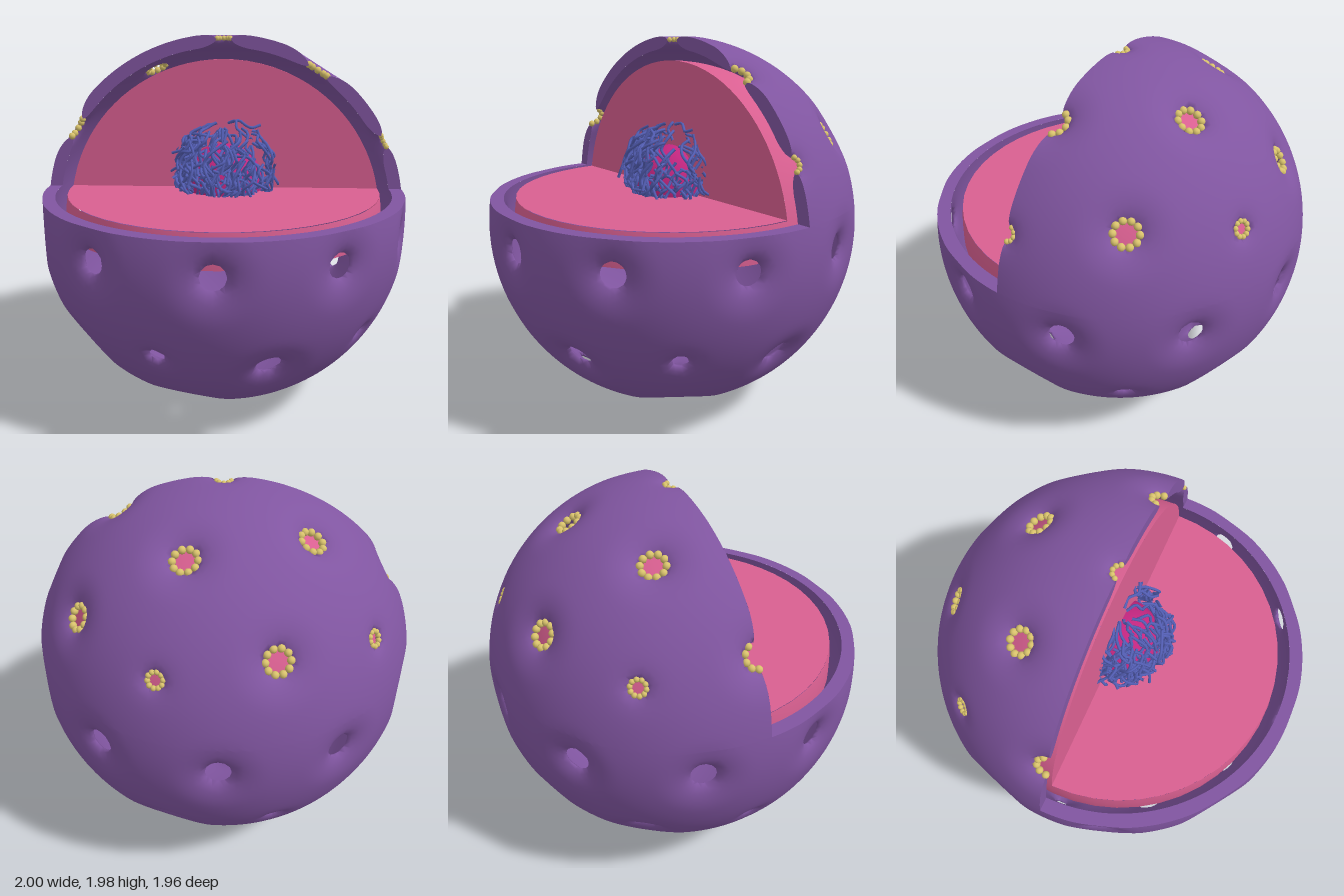
import * as THREE from 'three';
import { mergeVertices } from 'three/addons/utils/BufferGeometryUtils.js';

const V = (x, y, z) => new THREE.Vector3(x, y, z);
const MID = 0.966, HALF = 0.034;      // shell: middle radius and half thickness
const CORE = 0.87, CUT = 0.17;        // inner body radius, cut height above the centre
const CENTRE = 0.99;

const mat = (color, side = THREE.FrontSide) => new THREE.MeshStandardMaterial({ color, side });
const purple = 0x8055a0, pink = 0xd85f90, gold = 0xd8c26c, blue = 0x5560b8, magenta = 0xc2267f;

function add(parent, name, geometry, material) {
  const mesh = new THREE.Mesh(geometry, material);
  mesh.name = name;
  parent.add(mesh);
  return mesh;
}

// Pores: rings of [elevation, count, first azimuth, large?]
const pores = [];
for (const [el, n, az0, big] of [
  [90, 1, 0, 0], [58.28, 5, 0, 1], [31.72, 5, 36, 1], [26.57, 5, 0, 0], [0, 10, 18, 1],
  [-26.57, 5, 36, 0], [-31.72, 5, 0, 1], [-58.28, 5, 36, 1], [-90, 1, 0, 0]]) {
  for (let i = 0; i < n; i++) {
    const e = el * Math.PI / 180, a = (az0 + i * 360 / n) * Math.PI / 180;
    pores.push({
      dir: V(Math.cos(e) * Math.cos(a), Math.sin(e), -Math.cos(e) * Math.sin(a)),
      hole: big ? 0.064 : 0.04, blend: big ? 0.17 : 0.12, dent: big ? 0.014 : -0.008,
      bead: big ? 0.019 : 0.0135, beaded: el > 20,
    });
  }
}

// Nearest pore and the angle past its rim
function nearest(d) {
  let best = null, gap = Infinity;
  for (const p of pores) {
    const dot = d.dot(p.dir);
    if (dot < 0.8) continue;
    const g = Math.acos(Math.min(1, dot)) - p.hole;
    if (g < gap) { gap = g; best = p; }
  }
  return { pore: best, gap };
}

// Shell surface radius; outer (side 1) and inner (side -1) meet at each pore rim
function radius(d, side) {
  const { pore, gap } = nearest(d);
  if (!pore) return MID + side * HALF;
  const v = 1 - THREE.MathUtils.clamp(gap / pore.blend, 0, 1);
  return MID - pore.dent * v * v + side * HALF * Math.sqrt(1 - v * v);
}

// Keep the part of a polygon where f >= 0
function clip(poly, f) {
  const out = [];
  poly.forEach((p, i) => {
    const q = poly[(i + 1) % poly.length], a = f(p), b = f(q);
    if (a >= 0) out.push(p);
    if ((a > 0 && b < 0) || (a < 0 && b > 0)) out.push(p.clone().lerp(q, a / (a - b)));
  });
  return out;
}

function pushFan(list, poly) {
  for (let i = 2; i < poly.length; i++)
    for (const p of [poly[0], poly[i - 1], poly[i]]) list.push(p.x, p.y, p.z);
}

function smoothGeometry(list) {
  const g = new THREE.BufferGeometry();
  g.setAttribute('position', new THREE.Float32BufferAttribute(list, 3));
  const m = mergeVertices(g, 1e-4);
  m.computeVertexNormals();
  return m;
}

// Move points beside a rim exactly onto its circle
function snap(p) {
  const d = p.clone().normalize(), { pore, gap } = nearest(d);
  if (!pore || gap > 0.005) return d;
  const t = d.clone().addScaledVector(pore.dir, -d.dot(pore.dir)).normalize();
  return t.multiplyScalar(Math.sin(pore.hole)).addScaledVector(pore.dir, Math.cos(pore.hole));
}

// Perforated double-walled shell with the upper front quarter removed
function shellGeometry() {
  const pos = new THREE.IcosahedronGeometry(1, 35).attributes.position, list = [];
  for (let i = 0; i < pos.count; i += 3) {
    const tri = [0, 1, 2].map(k => V().fromBufferAttribute(pos, i + k));
    const dirs = clip(tri, p => nearest(p.clone().normalize()).gap).map(snap);
    for (const side of [1, -1]) {
      const poly = dirs.map(d => d.clone().multiplyScalar(radius(d, side)));
      if (side < 0) poly.reverse();
      pushFan(list, clip(poly, p => CUT - p.y));
      pushFan(list, clip(clip(poly, p => p.y - CUT), p => -p.z));
    }
  }
  return smoothGeometry(list);
}

// Flat cut faces of the shell: upright arch and level half ring
function rimGeometry(level) {
  const list = [], N = 240;
  const point = (i, side) => {
    const a = Math.PI * i / N;
    let d = V(Math.cos(a), Math.sin(a), 0);
    if (!level) return d.multiplyScalar(radius(d, side));
    let e = 0.17;
    for (let k = 0; k < 6; k++) {
      d = V(Math.cos(e) * Math.cos(a), Math.sin(e), Math.cos(e) * Math.sin(a));
      e = Math.asin(CUT / radius(d, side));
    }
    const r = CUT / Math.tan(e);
    return V(r * Math.cos(a), CUT, r * Math.sin(a));
  };
  for (let i = 0; i < N; i++) {
    const quad = [point(i, -1), point(i, 1), point(i + 1, 1), point(i + 1, -1)];
    if (level) quad.reverse();
    pushFan(list, level ? quad : clip(quad, p => p.y - CUT));
  }
  return smoothGeometry(list);
}

// Rings of beads round the upper pores behind the cut
function addBeads(parent) {
  const beads = new THREE.Group();
  beads.name = 'poreBeads';
  parent.add(beads);
  for (const p of pores) {
    if (!p.beaded || p.dir.z > 0.01) continue;
    const q = new THREE.Quaternion().setFromUnitVectors(V(0, 0, 1), p.dir);
    const geo = new THREE.SphereGeometry(p.bead, 10, 8);
    for (let i = 0; i < 10; i++) {
      const a = (i + 0.5) * Math.PI / 5, r = p.hole * 0.92;
      const c = V(r * Math.cos(a), r * Math.sin(a), MID - p.dent + 0.003).applyQuaternion(q);
      if (c.z < 0.004) add(beads, 'bead', geo, mat(gold)).position.copy(c);
    }
  }
}

// Open dome of the inner body, with its wall and floor
function addCore(parent) {
  const m = mat(pink, THREE.DoubleSide), t = Math.acos(CUT / CORE), s = Math.asin(CUT / CORE);
  add(parent, 'coreBack', new THREE.SphereGeometry(CORE, 24, 20, Math.PI, Math.PI, 0, Math.PI / 2), m);
  add(parent, 'coreFrontBand', new THREE.SphereGeometry(CORE, 24, 3, 0, Math.PI, t, Math.PI / 2 - t), m);
  const arc = new THREE.Shape();
  arc.absarc(0, 0, CORE, s, Math.PI - s, false);
  add(parent, 'coreWall', new THREE.ShapeGeometry(arc, 20), m);
  const floor = new THREE.CircleGeometry(CORE * Math.cos(s), 24, Math.PI, Math.PI).rotateX(-Math.PI / 2);
  add(parent, 'coreFloor', floor, m).position.y = CUT + 0.003;
}

// Ball of tangled strands, mostly draped from the top
function addStrands(parent) {
  let seed = 7;
  const rnd = (a, b) => {
    seed = (seed * 16807) % 2147483647;
    return a + (b - a) * seed / 2147483647;
  };
  const strands = new THREE.Group();
  strands.name = 'strands';
  strands.position.set(0.01, 0.28, 0);
  parent.add(strands);
  const m = mat(blue);
  for (let i = 0; i < 380; i++) {
    let az = rnd(0, Math.PI * 2), el = Math.asin(rnd(-0.35, 1));
    const step = rnd(0.12, 0.32), base = rnd(0.21, 0.27), pts = [];
    for (let k = 0; k < 5; k++) {
      const r = base + rnd(-0.02, 0.03);
      pts.push(V(r * Math.cos(el) * Math.cos(az), r * Math.sin(el), r * Math.cos(el) * Math.sin(az)));
      el = Math.max(el - step * rnd(0.4, 1.2), -0.75);
      az += rnd(-0.25, 0.25);
    }
    // loose ends poke outward
    if (i % 3 === 0) pts[4].multiplyScalar(1.12);
    add(strands, 'strand', new THREE.TubeGeometry(new THREE.CatmullRomCurve3(pts), 12, 0.008, 5), m);
  }
}

export function createModel() {
  const root = new THREE.Group();
  root.name = 'cutawaySphere';
  const body = new THREE.Group();
  body.name = 'body';
  body.position.y = CENTRE;
  root.add(body);

  add(body, 'shell', shellGeometry(), mat(purple));
  add(body, 'shellCutUpright', rimGeometry(false), mat(purple, THREE.DoubleSide));
  add(body, 'shellCutLevel', rimGeometry(true), mat(purple, THREE.DoubleSide));
  addBeads(body);
  addCore(body);
  add(body, 'innerBall', new THREE.SphereGeometry(0.22, 32, 24), mat(magenta)).position.y = 0.2;
  addStrands(body);
  return root;
}
